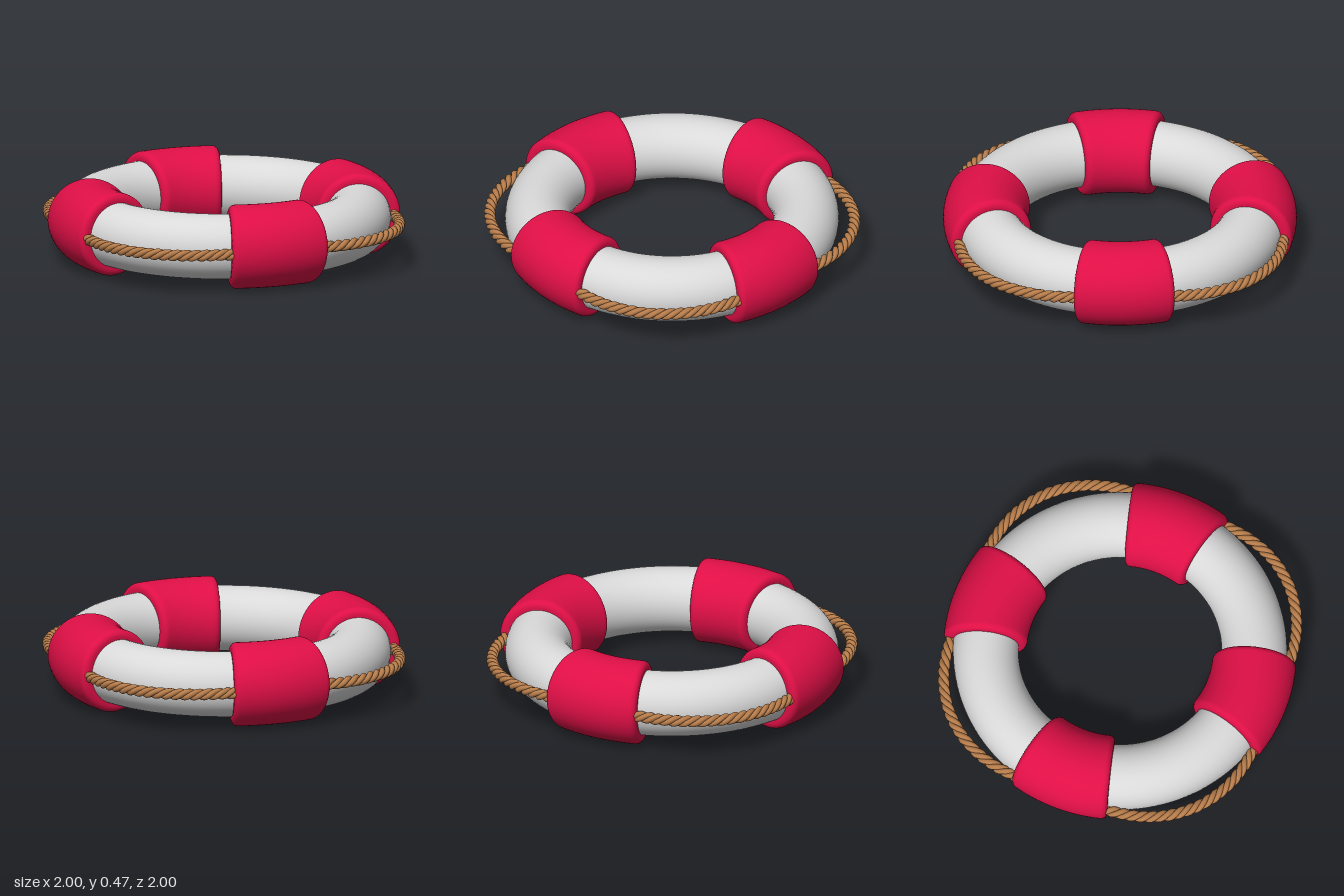
import * as THREE from 'three';

const CENTRE_Y = 0.2375;
const BAND_RING = 0.7625, BAND_R = 0.2375;
const RING = 0.759, RING_R = 0.185;

// Closed sleeve wrapped around the ring; each section is [angle, tangent offset, radius]
function sleeveGeometry(sections, sides) {
  const pos = [], index = [];
  for (const [a, off, r] of sections) {
    for (let j = 0; j < sides; j++) {
      const phi = (j / sides) * Math.PI * 2;
      const d = BAND_RING + r * Math.cos(phi);
      pos.push(
        Math.sin(a) * d + Math.cos(a) * off,
        r * Math.sin(phi),
        Math.cos(a) * d - Math.sin(a) * off
      );
    }
  }
  for (let i = 0; i < sections.length - 1; i++) {
    for (let j = 0; j < sides; j++) {
      const k = (j + 1) % sides;
      const a = i * sides + j, b = (i + 1) * sides + j;
      const c = (i + 1) * sides + k, d = i * sides + k;
      index.push(a, b, c, a, c, d);
    }
  }
  const g = new THREE.BufferGeometry();
  g.setAttribute('position', new THREE.Float32BufferAttribute(pos, 3));
  g.setIndex(index);
  g.computeVertexNormals();
  return g;
}

// Band with rounded rims and flat end faces
function bandGeometry() {
  const half = THREE.MathUtils.degToRad(15), bevel = 0.036;
  const rim = [];
  for (let i = 0; i <= 6; i++) {
    const t = (i / 6) * Math.PI / 2;
    rim.push([half, bevel * Math.sin(t), BAND_R - bevel * (1 - Math.cos(t))]);
  }
  rim.push([half, bevel, BAND_R - bevel - 0.004], [half, bevel, 0.17]);
  const sections = rim.map(([a, o, r]) => [-a, -o, r]).reverse();
  for (let i = 1; i < 14; i++) sections.push([half * (i / 7 - 1), 0, BAND_R]);
  sections.push(...rim);
  return sleeveGeometry(sections, 64);
}

// One strand twisting around a rope that bows outward between two bands
class StrandCurve extends THREE.Curve {
  constructor(phase) {
    super();
    this.phase = phase;
  }
  getPoint(t, target = new THREE.Vector3()) {
    const a = THREE.MathUtils.degToRad(13 + 64 * t);
    const twist = this.phase + t * Math.PI * 2 * 7;
    const r = 0.94 + 0.092 * Math.sin(Math.PI * t) + 0.017 * Math.cos(twist);
    return target.set(Math.sin(a) * r, 0.017 * Math.sin(twist), Math.cos(a) * r);
  }
}

export function createModel() {
  const white = new THREE.MeshStandardMaterial({ color: 0xd9d9d9 });
  white.name = 'white';
  const red = new THREE.MeshStandardMaterial({ color: 0xdf0f46 });
  red.name = 'red';
  const tan = new THREE.MeshStandardMaterial({ color: 0xb87d4b });
  tan.name = 'rope tan';

  const model = new THREE.Group();
  model.name = 'lifebuoy';

  // Main float
  const float = new THREE.Mesh(new THREE.TorusGeometry(RING, RING_R, 48, 128), white);
  float.name = 'floatRing';
  float.rotation.x = Math.PI / 2;
  float.position.y = CENTRE_Y;
  model.add(float);

  // Four bands and the four rope spans between them
  const bandGeo = bandGeometry();
  const strandGeos = [0, 1, 2].map(
    (i) => new THREE.TubeGeometry(new StrandCurve((i * Math.PI * 2) / 3), 160, 0.0165, 8, false)
  );
  for (let q = 0; q < 4; q++) {
    const quarter = new THREE.Group();
    quarter.name = 'quarter' + (q + 1);
    quarter.position.y = CENTRE_Y;
    quarter.rotation.y = (q * Math.PI) / 2;

    const band = new THREE.Mesh(bandGeo, red);
    band.name = 'band';
    quarter.add(band);

    const rope = new THREE.Group();
    rope.name = 'rope';
    for (const geo of strandGeos) {
      const strand = new THREE.Mesh(geo, tan);
      strand.name = 'ropeStrand';
      rope.add(strand);
    }
    quarter.add(rope);
    model.add(quarter);
  }
  return model;
}
